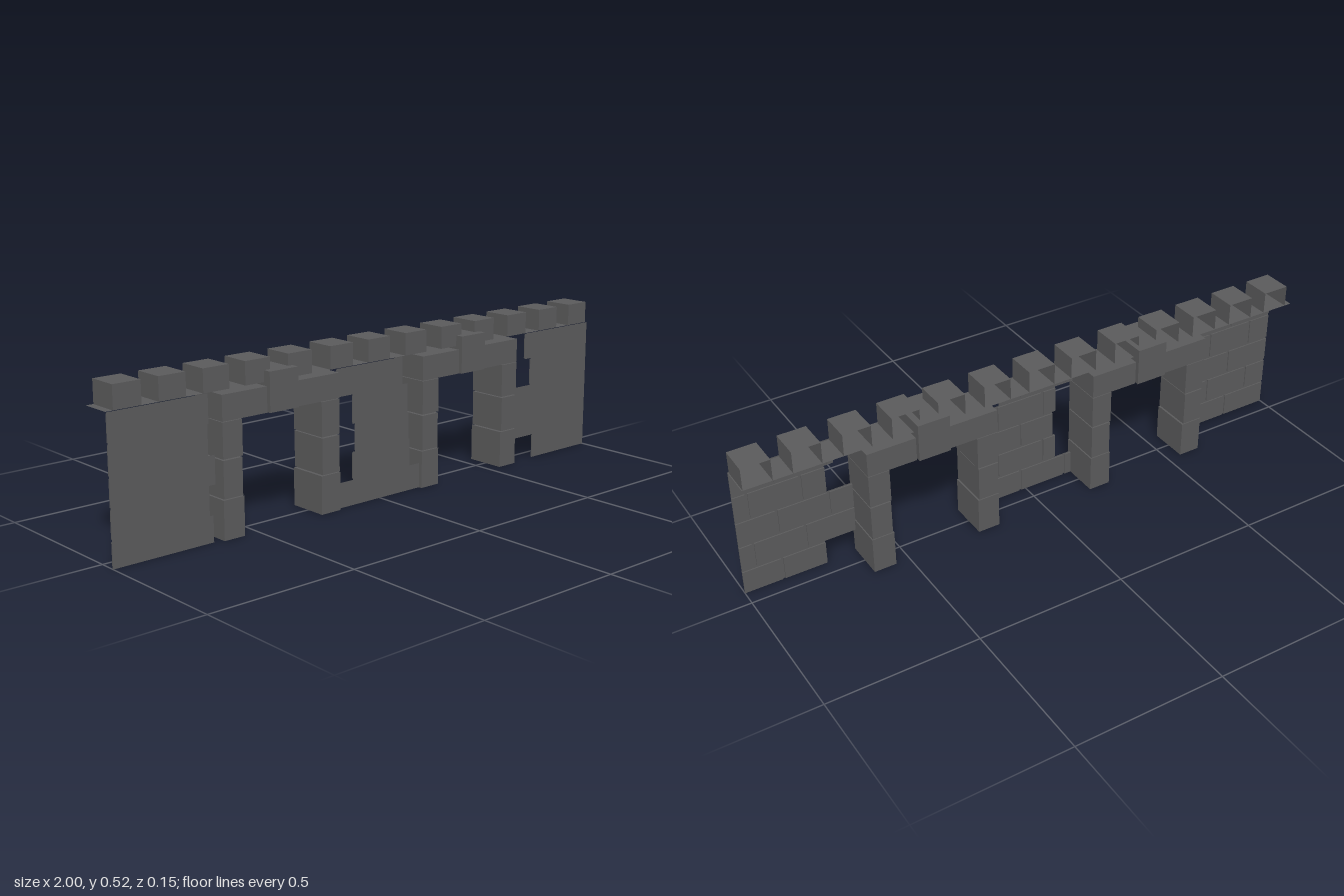
import * as THREE from 'three';

export function createModel() {
  const model = new THREE.Group();
  const stone = new THREE.MeshStandardMaterial({ color: 0x5a5a5b, side: THREE.DoubleSide });
  stone.name = 'grey stone';

  // Box given by its limits; `open` lists faces left out (0..5 = +x -x +y -y +z -z)
  function block(parent, name, x0, x1, y0, y1, z0, z1, open = []) {
    const geo = new THREE.BoxGeometry(x1 - x0, y1 - y0, z1 - z0);
    const index = Array.from(geo.index.array).filter((_, i) => !open.includes(Math.floor(i / 6)));
    geo.setIndex(index);
    geo.clearGroups();
    geo.translate((x0 + x1) / 2, (y0 + y1) / 2, (z0 + z1) / 2);
    const mesh = new THREE.Mesh(geo, stone);
    mesh.name = name;
    parent.add(mesh);
  }

  // Brick panels: thin facing sheet with ragged ends, bricks in relief behind it
  const rows = [0, 0.083, 0.175, 0.265, 0.36, 0.45];
  const sheetZ = 0.0555, brickZ = 0.0515, brick = 0.17, joint = 0.004;
  function panel(name, left, right) {
    const group = new THREE.Group();
    group.name = name;
    const shape = new THREE.Shape();
    shape.moveTo(left[0], 0);
    for (let r = 0; r < 5; r++) {
      shape.lineTo(right[r], rows[r]);
      shape.lineTo(right[r], rows[r + 1]);
    }
    for (let r = 4; r >= 0; r--) {
      shape.lineTo(left[r], rows[r + 1]);
      shape.lineTo(left[r], rows[r]);
    }
    const sheet = new THREE.Mesh(new THREE.ShapeGeometry(shape), stone);
    sheet.name = 'facingSheet';
    sheet.position.z = sheetZ;
    group.add(sheet);
    for (let r = 0; r < 5; r++) {
      let start = -1 - (r % 2 ? brick / 2 : 0);
      for (; start < right[r]; start += brick) {
        const a = Math.max(start, left[r]), b = Math.min(start + brick, right[r]);
        if (b - a < 0.02) continue;
        block(group, 'brick', a + (a > left[r] ? joint : 0), b - (b < right[r] ? joint : 0),
          rows[r] + (r ? joint : 0), rows[r + 1] - joint, brickZ, sheetZ, [4]);
      }
    }
    model.add(group);
  }
  panel('rightWallPanel', [-1, -1, -1, -1, -1], [-0.655, -0.668, -0.645, -0.668, -0.664]);
  panel('middleWallPanel', [-0.19, -0.115, -0.105, -0.115, -0.18], [0.18, 0.13, 0.125, 0.12, 0.097]);
  panel('leftWallPanel', [0.725, 0.615, 0.615, 0.705, 0.675], [1, 1, 1, 1, 1]);

  // Two gateways: stacked pillars, split lintel and keystone
  for (const cx of [-0.402, 0.398]) {
    const gate = new THREE.Group();
    gate.name = 'gateway';
    const d = 0.068;
    for (const s of [-1, 1]) {
      const span = (a, b) => (s < 0 ? [cx - b, cx - a] : [cx + a, cx + b]);
      block(gate, 'pillarBase', ...span(0.149, 0.224), 0, 0.124, -d, d, [3]);
      block(gate, 'pillarMiddle', ...span(0.153, 0.222), 0.127, 0.244, -d, d);
      block(gate, 'pillarTop', ...span(0.151, 0.222), 0.248, 0.359, -d, d);
      block(gate, 'lintel', ...span(0.058, 0.222), 0.361, 0.441, -d, d);
    }
    block(gate, 'keystone', cx - 0.054, cx + 0.054, 0.361, 0.486, -0.077, 0.077);
    model.add(gate);
  }

  // Walkway sheet along the top
  const walkway = new THREE.Mesh(new THREE.PlaneGeometry(2, 0.1).rotateX(-Math.PI / 2), stone);
  walkway.name = 'walkway';
  walkway.position.y = 0.45;
  model.add(walkway);

  // Battlements, open at the back and underneath
  const starts = [-0.975, -0.826, -0.675, -0.525, -0.365, -0.2, -0.045,
    0.115, 0.275, 0.43, 0.59, 0.75, 0.905];
  for (const x of starts) {
    block(model, 'battlement', x, x + 0.092, 0.45, 0.523, -0.05, 0.05, [3, 5]);
  }
  return model;
}
